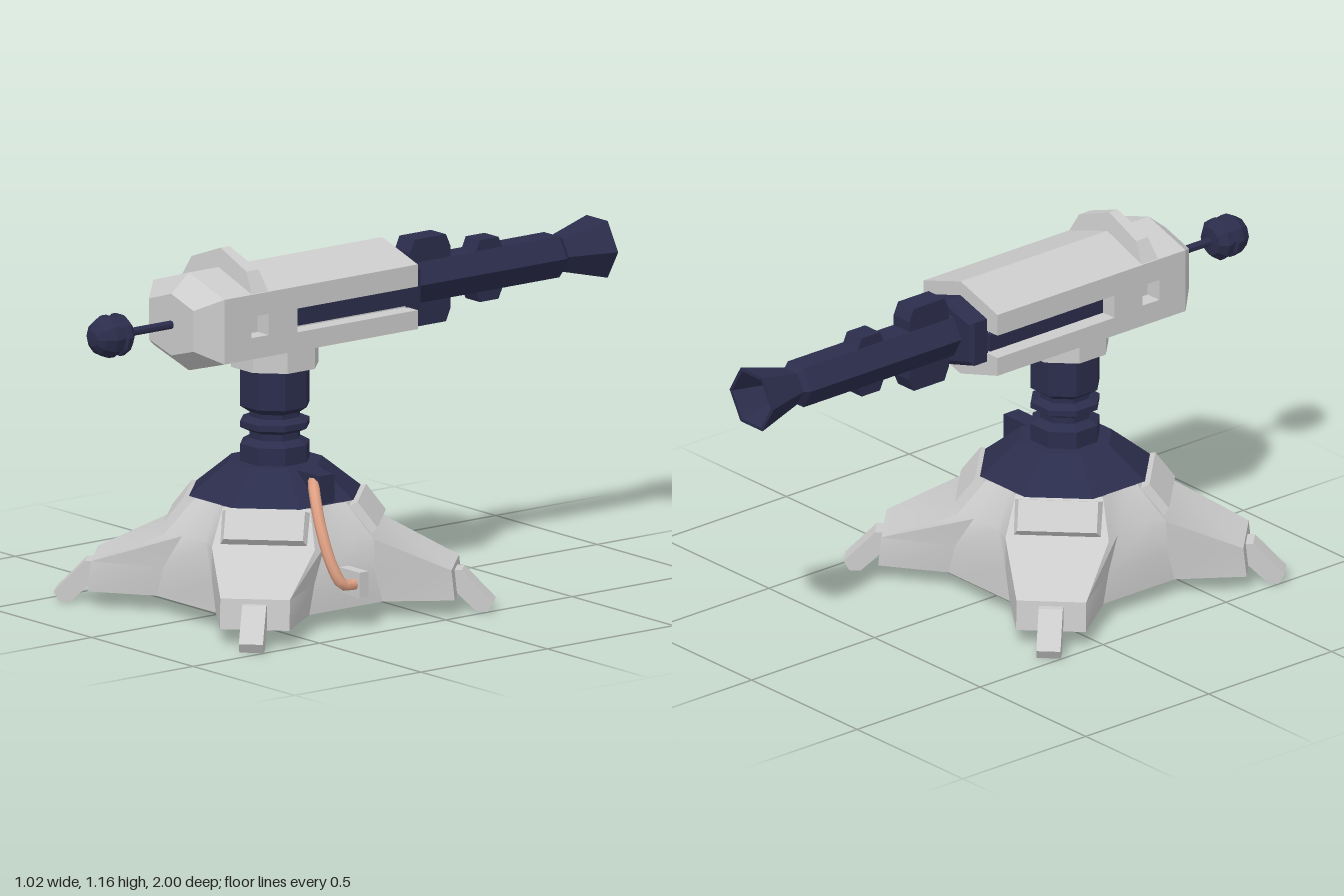
import * as THREE from 'three';
import { toCreasedNormals } from 'three/addons/utils/BufferGeometryUtils.js';

const CZ = 0.275; // z of the pedestal axis
const AY = 0.945; // height of the barrel axis
const mat = (color, extra = {}) => new THREE.MeshStandardMaterial({ color, flatShading: true, ...extra });

export function createModel() {
  const model = new THREE.Group();
  const grey = mat(0xcccccc);
  const navy = mat(0x2b2d4c);
  const navyOpen = mat(0x2b2d4c, { side: THREE.DoubleSide });
  const shell = mat(0xcccccc, { side: THREE.DoubleSide, flatShading: false });
  const copper = mat(0xe0a184, { flatShading: false });

  const add = (name, geometry, material, parent = model) => {
    const mesh = new THREE.Mesh(geometry, material);
    mesh.name = name;
    parent.add(mesh);
    return mesh;
  };
  const box = (w, h, d, x, y, z) => new THREE.BoxGeometry(w, h, d).translate(x, y, z);
  const shapeOf = (pts) => new THREE.Shape(pts.map(([x, y]) => new THREE.Vector2(x, y)));
  // Front outline (x, y) pushed along z
  const alongZ = (pts, z0, z1) =>
    new THREE.ExtrudeGeometry(shapeOf(pts), { depth: z1 - z0, bevelEnabled: false }).translate(0, 0, z0);
  // Side outline (z, y) given a width in x
  const alongX = (shape, width) =>
    new THREE.ExtrudeGeometry(shape, { depth: width, bevelEnabled: false })
      .translate(0, 0, -width / 2).rotateY(-Math.PI / 2);
  // Faceted lathe from [radius, height], with a flat side facing front
  const lathe = (pts, sides, start = Math.PI / sides) =>
    new THREE.LatheGeometry(pts.map(([r, y]) => new THREE.Vector2(r, y)), sides, start);
  // Skin between closed loops of [x, y, z]
  const loft = (loops, caps) => {
    const pos = [];
    const n = loops[0].length;
    const tri = (a, b, c) => pos.push(...a, ...b, ...c);
    for (let r = 0; r < loops.length - 1; r++) {
      for (let i = 0; i < n; i++) {
        const j = (i + 1) % n;
        const a = loops[r], b = loops[r + 1];
        tri(a[i], a[j], b[j]);
        tri(a[i], b[j], b[i]);
      }
    }
    if (caps) {
      const a = loops[0], b = loops[loops.length - 1];
      for (let i = 1; i < n - 1; i++) {
        tri(a[0], a[i + 1], a[i]);
        tri(b[0], b[i], b[i + 1]);
      }
    }
    const g = new THREE.BufferGeometry();
    g.setAttribute('position', new THREE.Float32BufferAttribute(pos, 3));
    g.computeVertexNormals();
    return g;
  };

  // Base: hollow skirt with four diagonal legs
  const base = new THREE.Group();
  base.name = 'base';
  base.position.z = CZ;
  model.add(base);
  // Rows: height, leg distance, leg half width, side half width, side distance
  const rows = [
    [0.05, 0.57, 0.108, 0.145, 0.35],
    [0.145, 0.56, 0.108, 0.12, 0.345],
    [0.25, 0.325, 0.16, 0.06, 0.32],
    [0.36, 0.235, 0.135, 0.03, 0.25],
  ];
  const skirtLoops = rows.map(([y, d, hw, sx, sz]) => {
    const loop = [];
    const u = (d - hw) * Math.SQRT1_2, v = (d + hw) * Math.SQRT1_2;
    let quarter = [[-sx, sz], [sx, sz], [u, v], [v, u]];
    for (let k = 0; k < 4; k++) {
      quarter.forEach(([x, z]) => loop.push([x, y, z]));
      quarter = quarter.map(([x, z]) => [z, -x]);
    }
    return loop;
  });
  add('skirt', toCreasedNormals(loft(skirtLoops), 0.5), shell, base);

  // Raised panel and foot on each leg
  const footOutline = shapeOf([[0.54, 0.085], [0.63, 0], [0.665, 0], [0.682, 0.03], [0.585, 0.13], [0.54, 0.13]]);
  for (let k = 0; k < 4; k++) {
    const leg = new THREE.Group();
    leg.name = 'leg';
    leg.rotation.y = Math.PI / 4 + (k * Math.PI) / 2;
    base.add(leg);
    const panel = new THREE.BoxGeometry(0.29, 0.045, 0.125);
    const p = panel.attributes.position;
    for (let i = 0; i < p.count; i++) {
      if (p.getY(i) > 0) p.setXYZ(i, p.getX(i) * 0.85, p.getY(i), p.getZ(i) * 0.8);
    }
    add('legPanel', panel.rotateX(0.913).translate(0, 0.305, 0.283), grey, leg);
    add('foot', alongX(footOutline, 0.075), grey, leg);
  }

  // Dark collar and grooved column, eight sided
  const oct = 1 / Math.cos(Math.PI / 8);
  const octLathe = (pts) => lathe(pts.map(([r, y]) => [r * oct, y]), 8);
  add('collar', octLathe([[0, 0.355], [0.255, 0.36], [0.14, 0.46], [0, 0.46]]), navy, base);
  add('column', octLathe([
    [0.103, 0.45], [0.103, 0.515], [0.075, 0.532], [0.075, 0.553], [0.103, 0.568],
    [0.103, 0.587], [0.075, 0.6], [0.075, 0.615], [0.103, 0.635], [0.103, 0.77],
  ]), navy, base);
  add('headMount', octLathe([[0, 0.76], [0.13, 0.76], [0.13, 0.835], [0, 0.835]]), grey, base);

  // Cable on the left side with its socket and clip
  add('cableSocket', box(0.137, 0.09, 0.06, 0.188, 0.41, CZ), navy);
  const cablePath = new THREE.CatmullRomCurve3([
    [0.19, 0.435, 0.275], [0.27, 0.41, 0.335], [0.34, 0.31, 0.365],
    [0.39, 0.2, 0.36], [0.41, 0.145, 0.335], [0.41, 0.14, 0.28],
  ].map((q) => new THREE.Vector3(...q)));
  add('cable', new THREE.TubeGeometry(cablePath, 20, 0.018, 8), copper);
  add('cableClip', box(0.1, 0.08, 0.035, 0.385, 0.14, 0.272), grey);

  // Head: core with roof and keel, slotted side walls, bevelled nose
  const head = new THREE.Group();
  head.name = 'head';
  model.add(head);
  const hexAt = (z, sx, sy) =>
    [[0, -0.155], [1, -0.105], [1, 0.1], [0, 0.155], [-1, 0.1], [-1, -0.105]]
      .map(([x, y]) => [x * sx, AY + y * sy, z]);
  add('headCore', alongZ([
    [0, 0.79], [0.175, 0.84], [0.12, 0.84], [0.12, 1.045], [0.175, 1.045], [0, 1.1],
    [-0.175, 1.045], [-0.12, 1.045], [-0.12, 0.84], [-0.175, 0.84],
  ], -0.15, 0.615), grey, head);
  const wall = shapeOf([
    [-0.15, 0.84], [0.615, 0.84], [0.615, 1.045], [-0.15, 1.045],
    [-0.15, 0.975], [0.325, 0.975], [0.325, 0.9], [-0.15, 0.9],
  ]);
  wall.holes.push(new THREE.Path([[0.44, 0.908], [0.44, 0.975], [0.508, 0.975], [0.508, 0.908]]
    .map(([z, y]) => new THREE.Vector2(z, y))));
  for (const s of [1, -1]) {
    add('sideWall', alongX(wall, 0.055).translate(s * 0.1475, 0, 0), grey, head);
    add('slotRail', box(0.03, 0.055, 0.46, s * 0.125, 0.9375, 0.08), navy, head);
  }
  add('nose', loft([hexAt(0.615, 0.175, 1), hexAt(0.685, 0.11, 0.63)], true), grey, head);

  // Crest over the roof, thinner towards its top
  const crest = alongZ([
    [-0.175, 1.04], [0, 1.09], [0.175, 1.04], [0.135, 1.11], [0, 1.16], [-0.135, 1.11],
  ], -1, 1);
  const cp = crest.attributes.position;
  for (let i = 0; i < cp.count; i++) {
    const half = THREE.MathUtils.mapLinear(cp.getY(i), 1.04, 1.16, 0.034, 0.017);
    cp.setZ(i, 0.472 + cp.getZ(i) * half);
  }
  add('crest', crest, grey, head);

  // Front rod and knob
  const forward = (g) => g.rotateX(Math.PI / 2).translate(0, AY, 0);
  add('rod', forward(lathe([[0.013, 0.67], [0.013, 0.88]], 8)), navy);
  add('knob', forward(lathe([
    [0, 0.86], [0.045, 0.865], [0.067, 0.888], [0.067, 0.903], [0.056, 0.908], [0.056, 0.922],
    [0.067, 0.927], [0.067, 0.948], [0.05, 0.98], [0.025, 0.997], [0, 1],
  ], 10)), navy);

  // Rear barrel: collar, six-sided tube with flared hollow muzzle
  add('barrelCollar', loft([
    hexAt(-0.21, 0.11, 0.6), hexAt(-0.2, 0.125, 0.7), hexAt(-0.145, 0.125, 0.7),
  ], true), navy);
  add('barrel', forward(lathe([
    [0, -0.86], [0.05, -0.87], [0.092, -1], [0.104, -1], [0.064, -0.855], [0.06, -0.84], [0.075, -0.82], [0.075, -0.2],
  ], 6)), navyOpen);

  // Chamfered blocks passing through the barrel
  for (const [z0, z1, half, width] of [[-0.39, -0.23, 0.138, 0.075], [-0.6, -0.49, 0.098, 0.07]]) {
    const inset = 0.018, low = half - 0.04;
    const outline = shapeOf([
      [z0, -low], [z0 + inset, -half], [z1 - inset, -half], [z1, -low],
      [z1, low], [z1 - inset, half], [z0 + inset, half], [z0, low],
    ]);
    add('barrelBlock', alongX(outline, width).translate(0, AY, 0), navy);
  }
  return model;
}
